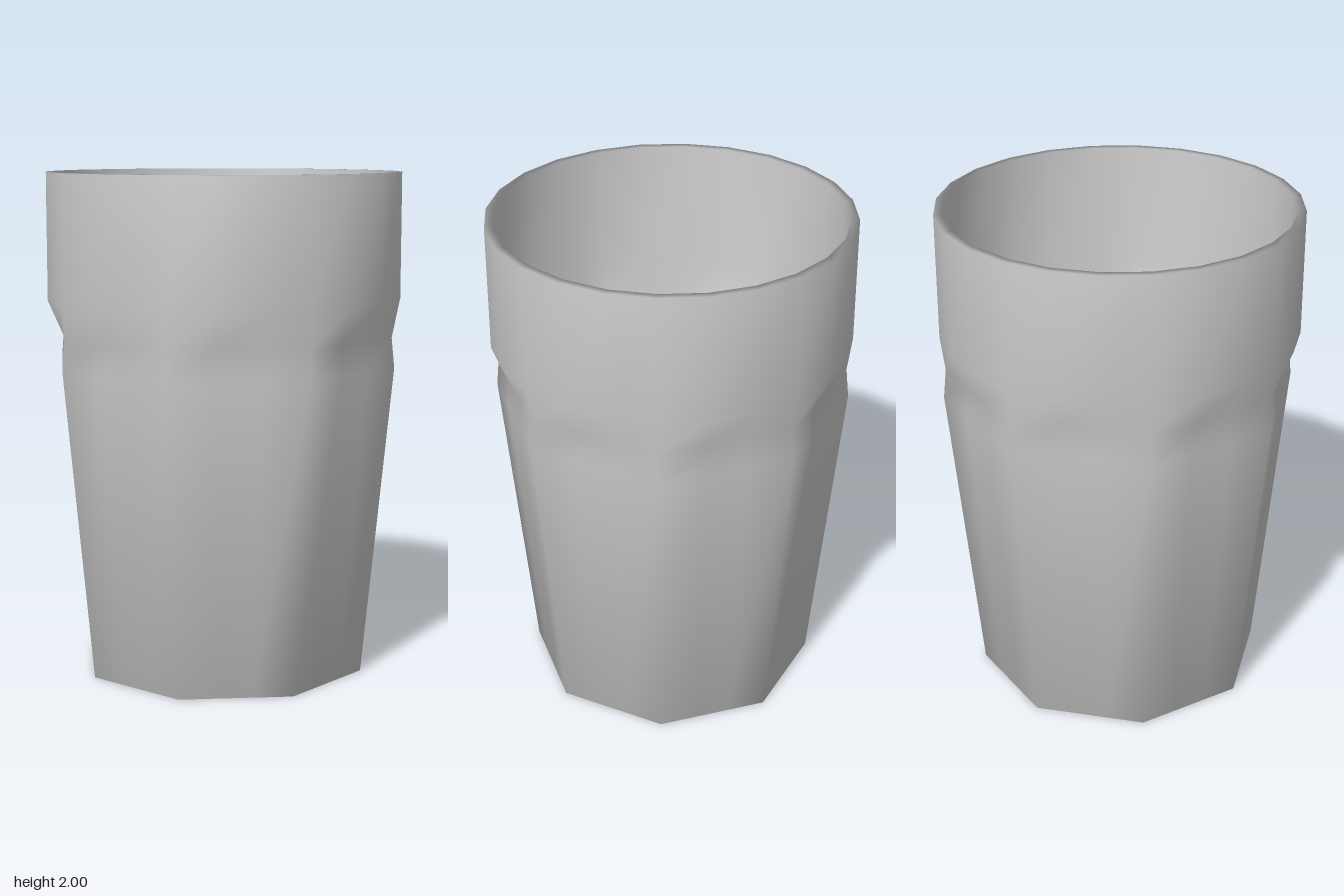
import * as THREE from 'three';

const SEGMENTS = 24; // three per facet of the eight-sided body
const WALL = 0.032;

// Outer levels from base to rim: height, corner radius, roundness (0 octagon, 1 circle)
const LEVELS = [
  [0, 0.58, 0],
  [1.24, 0.702, 0],
  [1.36, 0.69, 0.08],
  [1.5, 0.708, 1],
  [2, 0.708, 1],
];

// Radius of a section at an angle, blending octagon and circle
function sectionRadius(angle, radius, roundness) {
  const step = Math.PI / 4;
  const local = (angle % step) - step / 2;
  const octagon = Math.cos(step / 2) / Math.cos(local);
  return radius * THREE.MathUtils.lerp(octagon, 1, roundness);
}

// Closed skin through a list of rings, with a centre point at each end
function skin(rings) {
  const positions = [];
  const index = [];
  for (const [y, radius, roundness] of rings) {
    for (let i = 0; i < SEGMENTS; i++) {
      const a = (i / SEGMENTS) * Math.PI * 2;
      const r = sectionRadius(a, radius, roundness);
      positions.push(r * Math.sin(a), y, r * Math.cos(a));
    }
  }
  for (let k = 0; k < rings.length - 1; k++) {
    for (let i = 0; i < SEGMENTS; i++) {
      const j = (i + 1) % SEGMENTS;
      const a = k * SEGMENTS + i, b = k * SEGMENTS + j;
      index.push(a, b, b + SEGMENTS, a, b + SEGMENTS, a + SEGMENTS);
    }
  }
  const base = positions.length / 3;
  positions.push(0, rings[0][0], 0, 0, rings[rings.length - 1][0], 0);
  const last = (rings.length - 1) * SEGMENTS;
  for (let i = 0; i < SEGMENTS; i++) {
    const j = (i + 1) % SEGMENTS;
    index.push(base, j, i); // underside
    index.push(base + 1, last + i, last + j); // inner floor
  }
  const geometry = new THREE.BufferGeometry();
  geometry.setAttribute('position', new THREE.Float32BufferAttribute(positions, 3));
  geometry.setIndex(index);
  geometry.computeVertexNormals();
  return geometry;
}

export function createModel() {
  const group = new THREE.Group();
  group.name = 'drinkingGlass';

  // Outside up to the rim, then back down the inside to the floor
  const inside = LEVELS.map(([y, r, round]) => [y === 0 ? WALL : y, r - WALL, round]).reverse();
  const tumbler = new THREE.Mesh(
    skin([...LEVELS, ...inside]),
    new THREE.MeshStandardMaterial({ color: 0xcccccc })
  );
  tumbler.name = 'tumbler';
  group.add(tumbler);
  return group;
}
